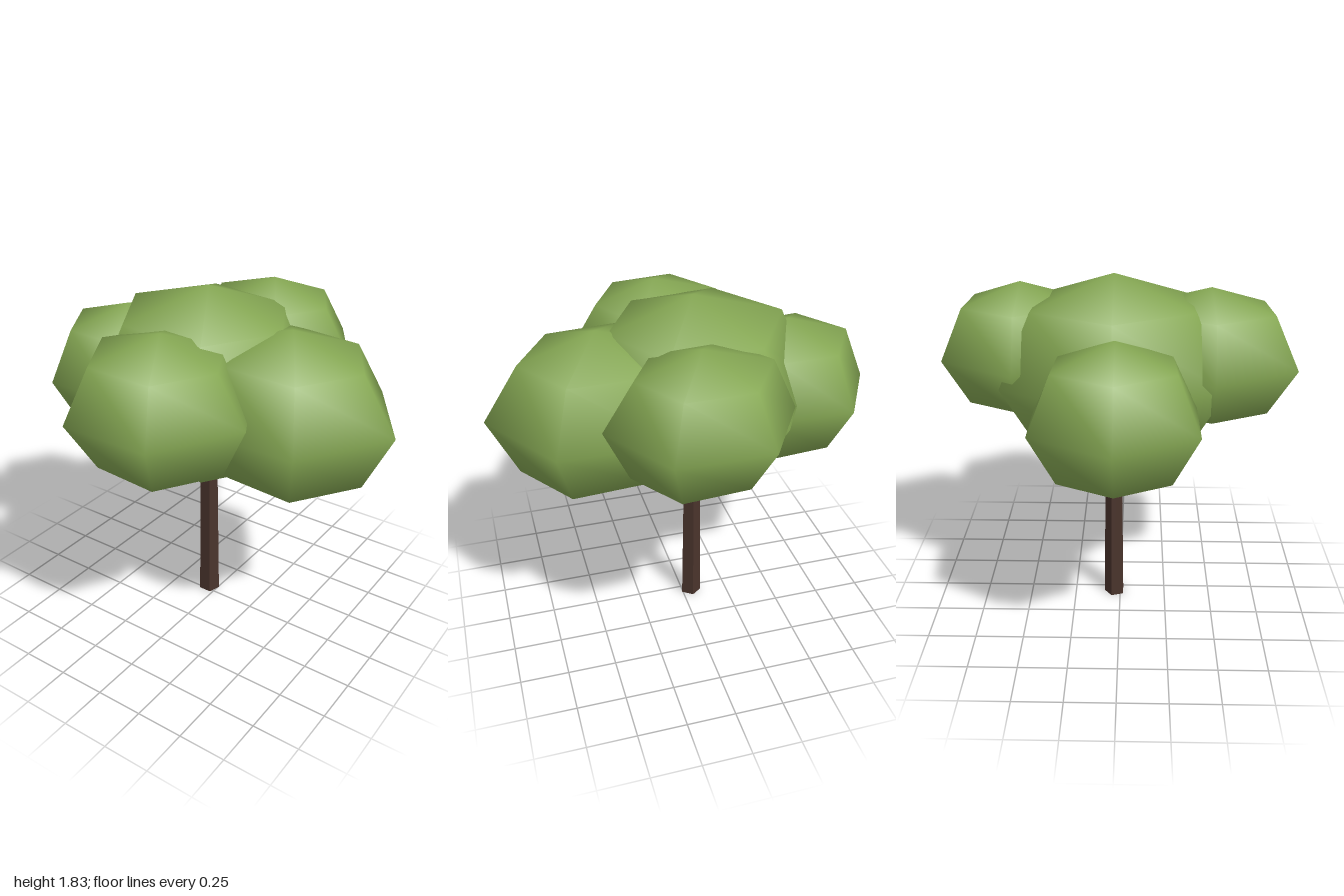
import * as THREE from 'three';
import { mergeVertices } from 'three/addons/utils/BufferGeometryUtils.js';

// Six-sided low-poly ball, pulled slightly along one diagonal, smooth normals
function leafBall(rx, ry, rz) {
  const ball = new THREE.SphereGeometry(1, 6, 4);
  ball.deleteAttribute('uv');
  ball.deleteAttribute('normal');
  const geometry = mergeVertices(ball, 1e-4);
  const p = geometry.attributes.position;
  for (let i = 0; i < p.count; i++) {
    const x = p.getX(i), y = p.getY(i), z = p.getZ(i);
    const s = 1 - 0.09 * x * y;
    p.setXYZ(i, x * rx * s, y * ry * s, z * rz * s);
  }
  geometry.computeVertexNormals();
  return geometry;
}

export function createModel() {
  const tree = new THREE.Group();
  tree.name = 'tree';

  const leafGreen = new THREE.MeshStandardMaterial({ color: 0x86a854 });
  leafGreen.name = 'leaf green';
  const barkBrown = new THREE.MeshStandardMaterial({ color: 0x4a342c });
  barkBrown.name = 'bark brown';

  // Five-sided tapering trunk with a flat side to the front
  const trunkGeometry = new THREE.CylinderGeometry(0.044, 0.058, 1.1, 5, 1, false, Math.PI / 5).toNonIndexed();
  trunkGeometry.computeVertexNormals();
  const trunk = new THREE.Mesh(trunkGeometry, barkBrown);
  trunk.name = 'trunk';
  trunk.position.set(-0.05, 0.55, -0.03);
  tree.add(trunk);

  // Crown: name, centre, radii
  const crown = [
    ['centreFoliage', [-0.05, 1.33, -0.03], [0.63, 0.495, 0.63]],
    ['rightSideFoliage', [-0.56, 1.265, -0.015], [0.44, 0.375, 0.445]],
    ['leftSideFoliage', [0.435, 1.283, -0.03], [0.56, 0.412, 0.525]],
    ['frontFoliage', [0.02, 1.38, 0.455], [0.47, 0.36, 0.485]],
    ['backFoliage', [0.045, 1.41, -0.505], [0.46, 0.35, 0.435]],
  ];
  for (const [name, centre, radii] of crown) {
    const foliage = new THREE.Mesh(leafBall(...radii), leafGreen);
    foliage.name = name;
    foliage.position.set(...centre);
    tree.add(foliage);
  }
  return tree;
}
